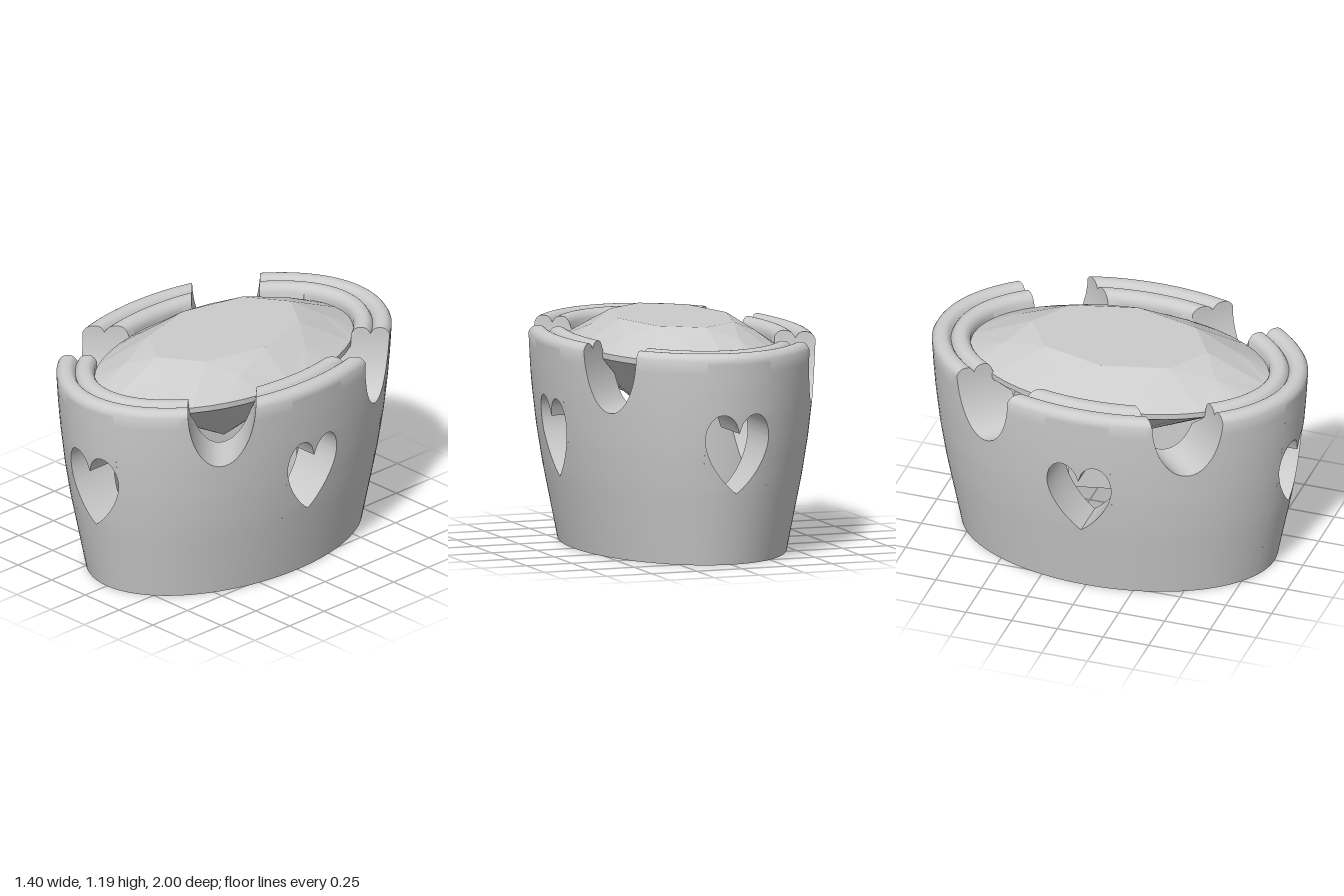
import * as THREE from 'three';
import { toCreasedNormals } from 'three/addons/utils/BufferGeometryUtils.js';

// Every horizontal ring is the stone's ellipse grown by an offset d
const RX = 0.5, RZ = 0.8;
const HALF = 0.175;        // half width of hearts and notches
const RIM = 1.085, TOP = 1.12;

const OUTER = [[0, 0.045], [0.4, 0.125], [0.6, 0.157], [0.8, 0.18], [0.95, 0.192], [RIM, 0.2]];
const INNER = [[0, -0.1], [0.93, -0.1], [1.02, 0], [RIM, 0]];

function sample(table, y) {
  for (let i = 1; i < table.length; i++) {
    const [y0, d0] = table[i - 1], [y1, d1] = table[i];
    if (y <= y1) return d0 + (d1 - d0) * (y - y0) / (y1 - y0);
  }
  return table[table.length - 1][1];
}

// Two rounded beads side by side on the rim
function rimHeight(d) {
  const u = (d - (d > 0.1 ? 0.15 : 0.05)) / 0.05;
  return TOP - (TOP - RIM) * Math.min(1, Math.abs(u) ** 3);
}

// Heart and notch outlines as heights over the sideways position s
function heartLow(s) {
  const a = Math.min(1, Math.abs(s) / HALF);
  return 0.38 + 0.13 * a + 0.16 * (1 - Math.sqrt(1 - a * a));
}
function heartHigh(s) {
  const e = Math.abs(s) - 0.09, u = e / (e > 0 ? 0.085 : 0.0925);
  return 0.67 + 0.13 * Math.sqrt(Math.max(0, 1 - u * u));
}
function notchFloor(s) {
  return TOP - 0.34 * Math.sqrt(Math.max(0, 1 - (s / HALF) ** 2));
}

// Closed wall section [d, y] between lo and a cutting height
function section(lo, cut) {
  const pts = [], hi = Math.min(cut, RIM), M = 16, T = 24;
  for (let i = 0; i <= M; i++) {
    const y = lo + (hi - lo) * i / M;
    pts.push([sample(OUTER, y), y]);
  }
  const d0 = sample(OUTER, hi), d1 = sample(INNER, hi);
  for (let i = 1; i < T; i++) {
    const d = d0 + (d1 - d0) * i / T;
    pts.push([d, hi < RIM ? hi : Math.min(cut, rimHeight(d))]);
  }
  for (let i = M; i >= 0; i--) {
    const y = lo + (hi - lo) * i / M;
    pts.push([sample(INNER, y), y]);
  }
  return pts;
}

// Ellipse angle where ring d meets the line at sideways offset s of a straight cut along alpha
function cutAngle(alpha, s, d) {
  const p = (RX + d) * Math.sin(alpha), q = (RZ + d) * Math.cos(alpha);
  let t = Math.acos(s / Math.hypot(p, q)) - Math.atan2(q, p);
  while (t < alpha - Math.PI) t += 2 * Math.PI;
  while (t > alpha + Math.PI) t -= 2 * Math.PI;
  return t;
}

// Place a section on a column, given the column's angle for each offset
const place = (pts, angle) => pts.map(([d, y]) => {
  const t = angle(d);
  return [(RX + d) * Math.cos(t), y, (RZ + d) * Math.sin(t)];
});

function loft(out, columns) {
  for (let i = 1; i < columns.length; i++) {
    const A = columns[i - 1], B = columns[i], n = A.length;
    for (let j = 0; j < n; j++) {
      const k = (j + 1) % n;
      out.push(...A[j], ...A[k], ...B[j], ...A[k], ...B[k], ...B[j]);
    }
  }
}

function wallGeometry() {
  const out = [], STEPS = 32, FILL = 8;
  for (let w = 0; w < 8; w++) {
    const alpha = w * Math.PI / 4;
    const lower = [], upper = [];
    for (let i = 0; i <= STEPS; i++) {
      const s = HALF * Math.cos(Math.PI * i / STEPS);
      const angle = d => cutAngle(alpha, s, d);
      if (w % 2) {
        lower.push(place(section(0, notchFloor(s)), angle));
      } else {
        lower.push(place(section(0, heartLow(s)), angle));
        upper.push(place(section(heartHigh(s), 2), angle));
      }
    }
    loft(out, lower);
    loft(out, upper);
    // Solid wall up to the next opening
    const solid = [];
    for (let i = 0; i <= FILL; i++) {
      const f = i / FILL;
      solid.push(place(section(0, 2), d =>
        (1 - f) * cutAngle(alpha, -HALF, d) + f * cutAngle(alpha + Math.PI / 4, HALF, d)));
    }
    loft(out, solid);
  }
  const g = new THREE.BufferGeometry();
  g.setAttribute('position', new THREE.Float32BufferAttribute(out, 3));
  return toCreasedNormals(g, 0.6);
}

// Oval brilliant-cut stone
function stoneGeometry() {
  const out = [], step = Math.PI / 4, centre = new THREE.Vector3(0, 0.95, 0);
  const P = (r, k, y) => new THREE.Vector3(RX * r * Math.cos(k * step), y, RZ * r * Math.sin(k * step));
  const tri = (a, b, c) => {
    const n = b.clone().sub(a).cross(c.clone().sub(a));
    const flip = n.dot(a.clone().add(b).add(c).divideScalar(3).sub(centre)) < 0;
    for (const v of flip ? [a, c, b] : [a, b, c]) out.push(v.x, v.y, v.z);
  };
  const Y1 = 1.05, Y0 = 1.02, TABLE = 1.19;
  const table = k => P(0.6, k, TABLE), crown = k => P(0.78, k + 0.5, 1.13);
  const pavilion = k => P(0.3, k + 0.5, 0.715);
  const top = new THREE.Vector3(0, TABLE, 0), culet = new THREE.Vector3(0, 0.585, 0);
  for (let k = 0; k < 8; k++) {
    tri(top, table(k), table(k + 1));
    tri(table(k), table(k + 1), crown(k));
    tri(table(k), crown(k - 1), P(1, k, Y1));
    tri(table(k), crown(k), P(1, k, Y1));
    tri(culet, pavilion(k - 1), P(1, k, Y0));
    tri(culet, pavilion(k), P(1, k, Y0));
    // Girdle and the facets that meet it
    for (let i = 0; i < 6; i++) {
      const a = k + i / 6, b = k + (i + 1) / 6;
      tri(crown(k), P(1, a, Y1), P(1, b, Y1));
      tri(pavilion(k), P(1, a, Y0), P(1, b, Y0));
      tri(P(1, a, Y0), P(1, b, Y0), P(1, b, Y1));
      tri(P(1, a, Y0), P(1, b, Y1), P(1, a, Y1));
    }
  }
  const g = new THREE.BufferGeometry();
  g.setAttribute('position', new THREE.Float32BufferAttribute(out, 3));
  g.computeVertexNormals();
  return g;
}

export function createModel() {
  const group = new THREE.Group();
  group.name = 'ovalStoneSetting';

  const setting = new THREE.Mesh(wallGeometry(), new THREE.MeshStandardMaterial({ color: 0xcccccc }));
  setting.name = 'bezelSetting';

  const stone = new THREE.Mesh(stoneGeometry(),
    new THREE.MeshStandardMaterial({ color: 0xcccccc, flatShading: true }));
  stone.name = 'ovalStone';

  group.add(setting, stone);
  return group;
}
